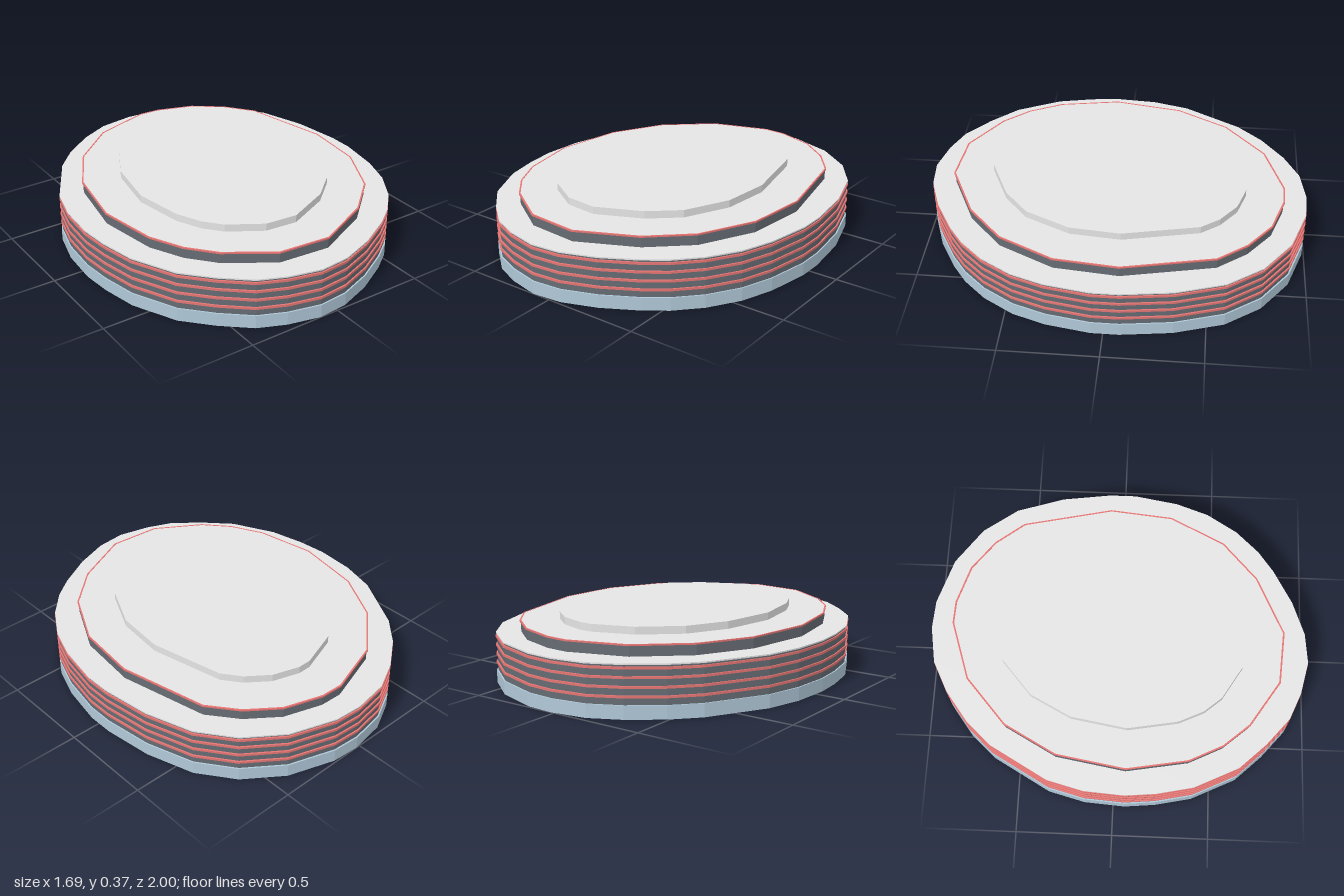
import * as THREE from 'three';

const mat = (name, color) => Object.assign(new THREE.MeshStandardMaterial({ color }), { name });

// Plan outlines as x, z corners, clockwise from the back
const OUTER = [[0.02, -1], [0.17, -0.99], [0.41, -0.91], [0.6, -0.77], [0.73, -0.59], [0.81, -0.34],
  [0.845, -0.08], [0.845, 0.06], [0.805, 0.29], [0.745, 0.46], [0.645, 0.62], [0.53, 0.74], [0.42, 0.82],
  [0.24, 0.92], [0.06, 0.985], [-0.1, 1], [-0.27, 0.96], [-0.41, 0.9], [-0.55, 0.78], [-0.68, 0.64],
  [-0.79, 0.41], [-0.83, 0.22], [-0.845, 0.06], [-0.83, -0.15], [-0.78, -0.34], [-0.61, -0.64],
  [-0.49, -0.77], [-0.33, -0.89], [-0.17, -0.97]];
const MIDDLE = [[0.03, -0.88], [0.15, -0.875], [0.35, -0.81], [0.505, -0.69], [0.62, -0.54], [0.722, -0.07],
  [0.688, 0.26], [0.545, 0.545], [0.345, 0.725], [0.04, 0.868], [-0.235, 0.845], [-0.47, 0.69],
  [-0.585, 0.555], [-0.67, 0.38], [-0.725, 0.06], [-0.663, -0.3], [-0.515, -0.57], [-0.275, -0.78]];
const UPPER = [[0.04, -0.675], [0.11, -0.675], [0.25, -0.63], [0.36, -0.545], [0.43, -0.45], [0.515, -0.06],
  [0.49, 0.2], [0.38, 0.43], [0.235, 0.555], [0, 0.66], [-0.17, 0.645], [-0.34, 0.54], [-0.415, 0.45],
  [-0.475, 0.32], [-0.52, 0.06], [-0.47, -0.23], [-0.36, -0.44], [-0.175, -0.6]];

// Counter-clockwise outline, so that hollow prisms get inward-facing inner walls
const scaled = (pts, s) => pts.map(([x, z]) => new THREE.Vector2(x * s, -z * s)).reverse();

// Upright prism between two heights, optionally hollow
function prism(outline, hole, y0, y1) {
  const shape = new THREE.Shape(outline);
  if (hole) shape.holes.push(new THREE.Path(hole));
  const geo = new THREE.ExtrudeGeometry(shape, { depth: y1 - y0, bevelEnabled: false });
  return geo.rotateX(-Math.PI / 2).translate(0, y0, 0);
}

export function createModel() {
  const group = new THREE.Group();
  const roof = mat('roofGrey', 0xe5e5e5);
  const wall = mat('wallGrey', 0x666c74);
  const glass = mat('baseBlue', 0xb0c8d8);
  const red = mat('bandRed', 0xe67674);

  const add = (name, geo, material) => {
    const mesh = new THREE.Mesh(geo, material);
    mesh.name = name;
    group.add(mesh);
  };
  const ring = (name, pts, so, si, y0, y1, m) =>
    add(name, prism(scaled(pts, so), scaled(pts, si), y0, y1), m);
  const slab = (name, pts, s, y0, y1, m) => add(name, prism(scaled(pts, s), null, y0, y1), m);

  // Hollow main storey, open underneath
  ring('mainWall', OUTER, 0.992, 0.985, 0, 0.262, wall);
  ring('groundFloor', OUTER, 1, 0.991, 0, 0.068, glass);
  slab('mainRoof', OUTER, 0.998, 0.26, 0.267, roof);

  // Horizontal bands around the main storey
  const bandHeights = [0.108, 0.154, 0.2, 0.245];
  bandHeights.forEach((y) => ring('floorBand', OUTER, 1, 0.991, y - 0.006, y + 0.006, red));

  // Thin plates on the inside of the wall along a run of corners
  const innerPlate = (name, [first, last], y0, y1, m) => {
    const run = OUTER.slice(first, last + 1);
    const strip = [...scaled(run, 0.986), ...scaled(run, 0.982).reverse()];
    add(name, prism(strip, null, y0, y1), m);
  };
  for (const run of [[14, 15], [17, 19], [24, 25]]) innerPlate('innerGlass', run, 0, 0.068, glass);
  for (const run of [[12, 14], [17, 19], [23, 25]]) {
    bandHeights.forEach((y) => innerPlate('innerBand', run, y - 0.006, y + 0.006, red));
  }

  // Set-back middle storey with a red rim
  slab('middleStorey', MIDDLE, 0.992, 0.266, 0.32, wall);
  ring('middleRim', MIDDLE, 1, 0.99, 0.319, 0.327, red);
  slab('middleRoof', MIDDLE, 0.991, 0.32, 0.326, roof);

  // Rooftop storey
  slab('upperStorey', UPPER, 1, 0.325, 0.365, roof);
  return group;
}
